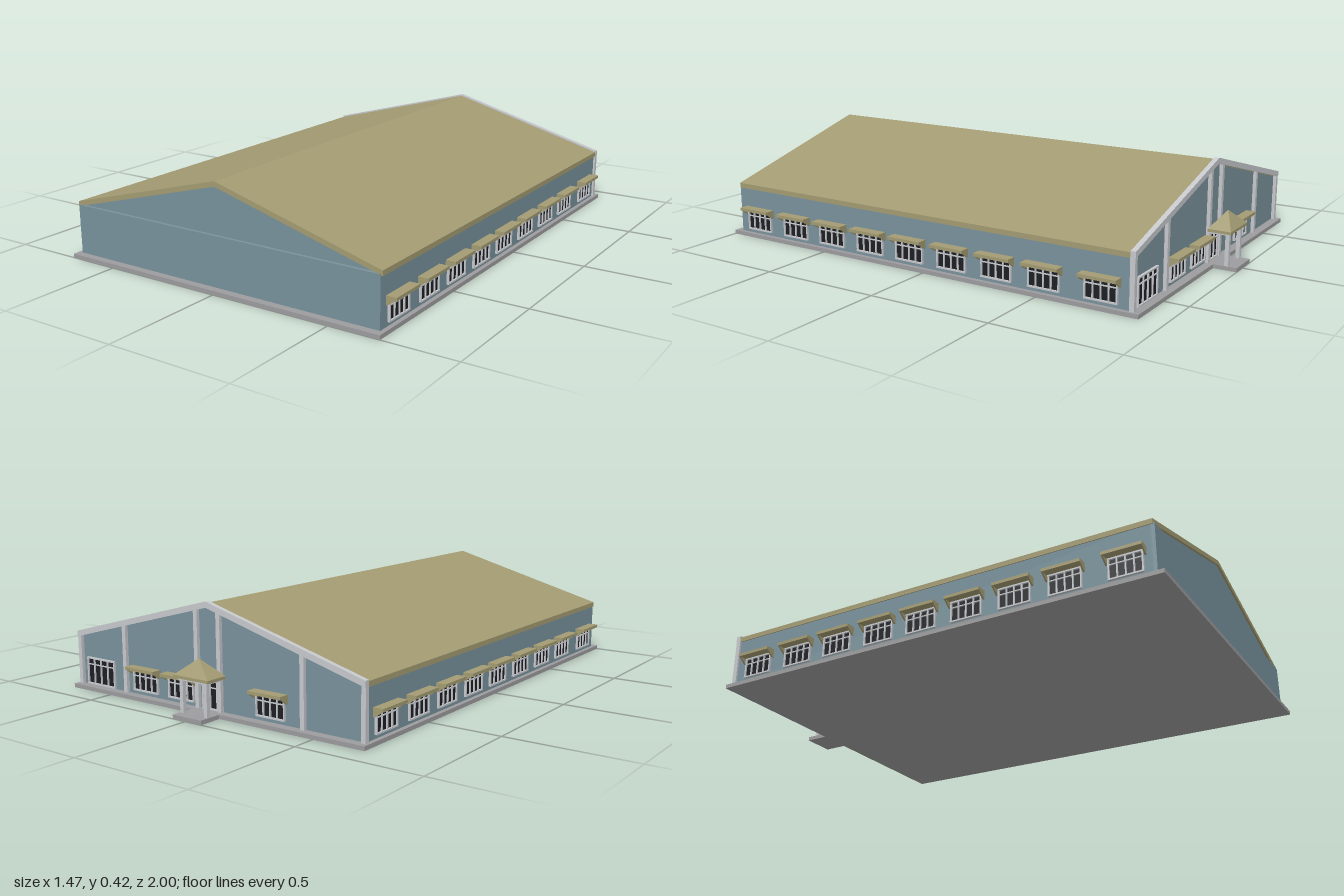
import * as THREE from 'three';

const flat = (name, color) => {
  const m = new THREE.MeshStandardMaterial({ color });
  m.name = name;
  return m;
};
const WALL = flat('blueGreyWall', 0x78919b);
const ROOF = flat('oliveRoof', 0xa39b72);
const BASE = flat('greyConcrete', 0x9c9c9e);
const TRIM = flat('paleTrim', 0xc6c8cc);
const GLASS = flat('darkGlass', 0x1c1f23);

const HALF = 0.692, BACK = -0.87, FRONT = 0.97;
const roofTop = x => 0.413 - Math.abs(x) * 0.27;

// Box given by its minimum and maximum corners
function box(parent, name, mat, [x0, y0, z0], [x1, y1, z1]) {
  const mesh = new THREE.Mesh(new THREE.BoxGeometry(x1 - x0, y1 - y0, z1 - z0), mat);
  mesh.position.set((x0 + x1) / 2, (y0 + y1) / 2, (z0 + z1) / 2);
  mesh.name = name;
  parent.add(mesh);
  return mesh;
}

// Outline in x, y extruded from z0 to z1
function prism(parent, name, mat, points, z0, z1) {
  const shape = new THREE.Shape(points.map(p => new THREE.Vector2(...p)));
  const geo = new THREE.ExtrudeGeometry(shape, { depth: z1 - z0, bevelEnabled: false });
  geo.translate(0, 0, z0);
  const mesh = new THREE.Mesh(geo, mat);
  mesh.name = name;
  parent.add(mesh);
  return mesh;
}

// Chevron band following both roof slopes
function chevron(half, rise, drop) {
  const e = roofTop(half), r = roofTop(0);
  return [[-half, e - drop], [0, r - drop], [half, e - drop], [half, e + rise], [0, r + rise], [-half, e + rise]];
}

// Glazing with frame and mullions, facing local +z
function glazing(name, width, y0, y1, panes, transom) {
  const g = new THREE.Group(), w = width / 2, t = 0.006;
  g.name = name;
  box(g, 'glass', GLASS, [-w, y0, -0.002], [w, y1, 0.003]);
  for (let i = 0; i <= panes; i++) {
    const x = -w + (width * i) / panes;
    const h = i === 0 || i === panes ? t / 2 : 0.0025;
    box(g, 'mullion', TRIM, [x - h, y0, 0], [x + h, y1, 0.009]);
  }
  for (const y of [y0, y1]) box(g, 'rail', TRIM, [-w - t / 2, y - t / 2, 0], [w + t / 2, y + t / 2, 0.01]);
  if (transom) box(g, 'transom', TRIM, [-w, transom - 0.002, 0], [w, transom + 0.002, 0.008]);
  return g;
}

// Window under a bracketed awning
function awningWindow() {
  const g = glazing('awningWindow', 0.125, 0.034, 0.112, 4, 0.09);
  box(g, 'awning', ROOF, [-0.075, 0.116, 0], [0.075, 0.128, 0.041]);
  for (const x of [-0.072, 0.072]) {
    const bracket = prism(g, 'awningBracket', ROOF, [[0, 0.094], [0.006, 0.094], [0.04, 0.118], [0, 0.118]], -0.003, 0.003);
    bracket.rotation.y = -Math.PI / 2;
    bracket.position.x = x;
  }
  return g;
}

function place(parent, part, x, z, turn) {
  part.position.set(x, 0, z);
  part.rotation.y = turn;
  parent.add(part);
}

export function createModel() {
  const model = new THREE.Group();
  model.name = 'hall';
  const hall = new THREE.Group();
  hall.name = 'building';
  hall.position.x = -0.004;
  model.add(hall);

  // Slab
  box(hall, 'baseSlab', BASE, [-0.71, 0, -0.905], [0.71, 0.016, 1]);

  // Walls: gabled body plus a thicker lower front wall
  const e = roofTop(HALF) - 0.01;
  prism(hall, 'walls', WALL,
    [[-HALF, 0.016], [HALF, 0.016], [HALF, e], [0, roofTop(0) - 0.01], [-HALF, e]], BACK, 0.957);
  box(hall, 'frontWall', WALL, [-HALF, 0.016, 0.95], [HALF, 0.212, FRONT]);

  // Roof
  prism(hall, 'roof', ROOF, chevron(0.698, 0, 0.02), BACK, 0.965);

  // Back gable trim and pilasters
  prism(hall, 'gableTrim', TRIM, chevron(0.7, 0.006, 0.017), -0.886, -0.866);
  for (const x of [-0.691, -0.435, -0.055, 0.055, 0.435, 0.691]) {
    const top = roofTop(Math.abs(x) + 0.009) - 0.008;
    box(hall, 'pilaster', TRIM, [x - 0.009, 0.016, -0.884], [x + 0.009, top, -0.865]);
  }

  // Side windows, the two sides in opposite order
  for (const z of [0.86, 0.656, 0.46, 0.263, 0.07, -0.127, -0.327, -0.527, -0.755]) {
    place(hall, awningWindow(), HALF, z, Math.PI / 2);
    place(hall, awningWindow(), -HALF, 0.105 - z, -Math.PI / 2);
  }

  // Back windows and wide glazed entrance
  for (const x of [0.33, 0.143, -0.288]) place(hall, awningWindow(), x, BACK, Math.PI);
  place(hall, glazing('glazedEntrance', 0.15, 0.022, 0.125, 4, 0.1), 0.58, BACK, Math.PI);

  // Porch: step, door, posts, hipped roof
  const porch = new THREE.Group();
  porch.name = 'porch';
  porch.position.x = -0.004;
  hall.add(porch);
  box(porch, 'porchStep', BASE, [-0.069, 0, -1], [0.069, 0.016, -0.9]);
  place(porch, glazing('porchDoor', 0.07, 0.02, 0.125, 2, 0.1), 0, BACK, Math.PI);
  for (const x of [-0.058, 0.058])
    box(porch, 'porchPost', TRIM, [x - 0.008, 0.016, -0.964], [x + 0.008, 0.142, -0.948]);
  box(porch, 'porchBeam', TRIM, [-0.07, 0.138, -0.966], [0.07, 0.15, -0.884]);
  box(porch, 'porchEave', ROOF, [-0.084, 0.146, -0.976], [0.084, 0.157, -0.882]);
  const cone = new THREE.ConeGeometry(Math.SQRT1_2, 1, 4, 1).toNonIndexed();
  cone.rotateY(Math.PI / 4);
  cone.scale(0.168, 0.063, 0.094);
  cone.computeVertexNormals();
  const hip = new THREE.Mesh(cone, ROOF);
  hip.name = 'porchRoof';
  hip.position.set(0, 0.188, -0.929);
  porch.add(hip);

  return model;
}
